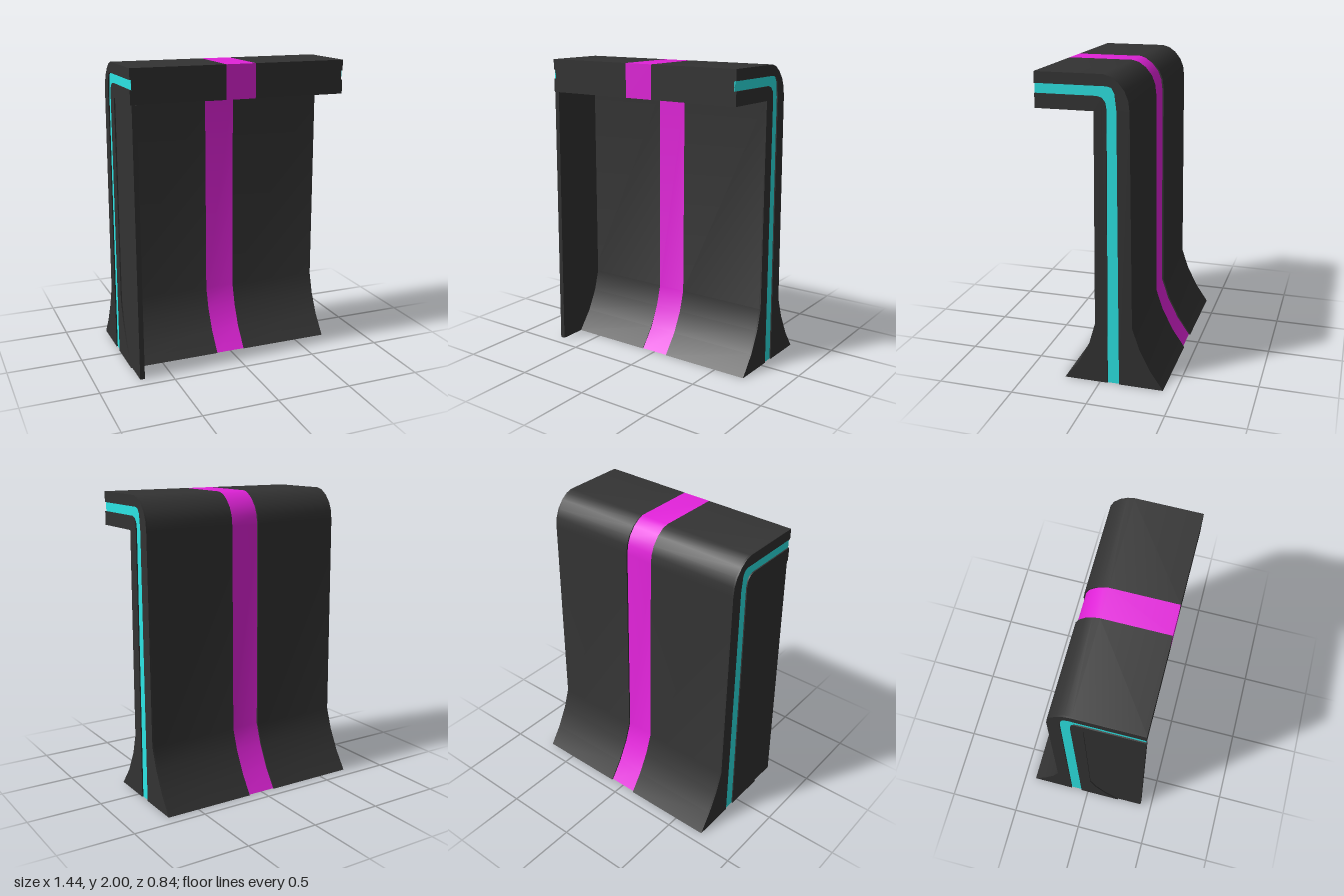
import * as THREE from 'three';
import { toCreasedNormals } from 'three/addons/utils/BufferGeometryUtils.js';

const dark = new THREE.MeshStandardMaterial({ color: 0x333333 });
const magenta = new THREE.MeshStandardMaterial({ color: 0xe223da });
const cyan = new THREE.MeshStandardMaterial({ color: 0x2ce6e6 });

// Profiles are lists of [z, y]
const front = 0.39, halfWidth = 0.72, groove = 0.01, stripe = 0.1;

// Back of the body from the front lip over the rounded top to the flared foot
const back = (inset) => [
  [front, 2], [-0.04, 2], [-0.085 + inset, 1.987], [-0.13 + inset, 1.955],
  [-0.17 + inset, 1.905], [-0.192 + inset, 1.85], [-0.2 + inset, 1.785],
  [-0.215 + inset, 0.41], [-0.262 + inset, 0.27], [-0.335 + inset, 0.125], [-0.42 + inset, 0],
];
// Inner wall from the foot up to the underside of the lip
const inner = (inset) => [
  [0.24 - inset, 0], [0.14 - inset, 0.13], [0.07, 0.27], [0.03, 0.41], [0.02, 1.78],
];
const lip = [[front, 1.78]];

// Two edges of the side groove, both from the lip down to the foot
const grooveOuter = [
  [front, 1.93], [-0.06, 1.93], [-0.09, 1.922], [-0.108, 1.89], [-0.12, 1.79], [-0.128, 0],
];
const grooveInner = [
  [front, 1.87], [0, 1.87], [-0.03, 1.86], [-0.05, 1.835], [-0.058, 1.79], [-0.05, 0],
];

// Extrude a [z, y] profile from x0 to x1
function slab(name, points, x0, x1, material) {
  const shape = new THREE.Shape(points.map(([z, y]) => new THREE.Vector2(z, y)));
  const geo = new THREE.ExtrudeGeometry(shape, { depth: x1 - x0, bevelEnabled: false });
  geo.rotateY(-Math.PI / 2).translate(x1, 0, 0);
  const mesh = new THREE.Mesh(toCreasedNormals(geo, 0.6), material);
  mesh.name = name;
  return mesh;
}

// The same slab placed on the left (side 1) or right (side -1)
function sideSlab(name, points, a, b, side, material) {
  return slab(name, points, side > 0 ? a : -b, side > 0 ? b : -a, material);
}

export function createModel() {
  const model = new THREE.Group();
  model.name = 'housing';

  const body = [...back(0), ...inner(0), ...lip];
  const outerRim = [...back(0), ...[...grooveOuter].reverse()];
  const innerRim = [...grooveInner, ...inner(0), ...lip];
  const band = [...grooveOuter, ...[...grooveInner].reverse()];

  for (const side of [1, -1]) {
    const half = new THREE.Group();
    half.name = side > 0 ? 'leftHalf' : 'rightHalf';
    const rim = halfWidth - groove;
    half.add(
      sideSlab('bodyShell', body, stripe, rim, side, dark),
      // Raised rims either side of the groove
      sideSlab('outerRim', outerRim, rim, halfWidth, side, dark),
      sideSlab('innerRim', innerRim, rim, halfWidth, side, dark),
      // Coloured inlay at the bottom of the groove
      sideSlab('sideInlay', band, rim - 0.005, rim + 0.002, side, cyan),
    );
    model.add(half);
  }

  // Centre stripe, slightly sunk at the back and foot
  model.add(slab('centreStripe', [...back(0.01), ...inner(0.005), ...lip], -stripe, stripe, magenta));

  // Thin panel closing the right side under the lip
  const panel = [...inner(0), [front + 0.003, 1.78], [0.42, 0]];
  model.add(slab('sidePanel', panel, -0.712, -0.68, dark));

  return model;
}
